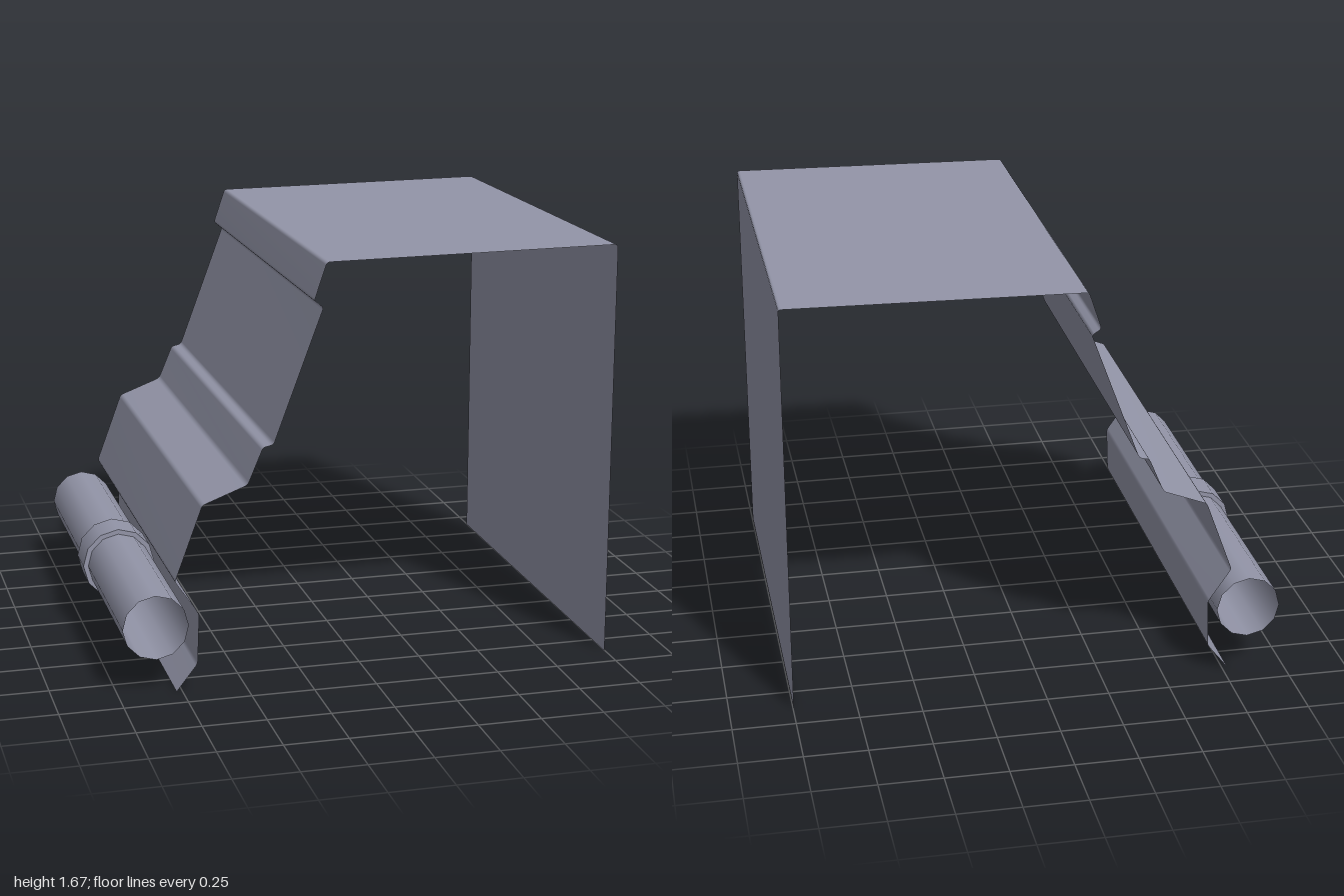
import * as THREE from 'three';

const HALF = 0.885; // half of the extruded length along z
const material = new THREE.MeshStandardMaterial({ color: 0x9395a8, side: THREE.DoubleSide });

// Rounds every inner corner of a polyline with a small bend
function bendProfile(corners, radius, steps) {
  const pts = corners.map(([x, y]) => new THREE.Vector2(x, y));
  const out = [pts[0]];
  for (let i = 1; i < pts.length - 1; i++) {
    const toward = (q) => {
      const d = q.clone().sub(pts[i]);
      return pts[i].clone().addScaledVector(d, Math.min(radius / d.length(), 0.35));
    };
    const bend = new THREE.QuadraticBezierCurve(toward(pts[i - 1]), pts[i], toward(pts[i + 1]));
    out.push(...bend.getPoints(steps));
  }
  out.push(pts[pts.length - 1]);
  return out;
}

// Thin sheet: a plane whose columns follow the profile
function sheet(profile) {
  const n = profile.length;
  const geo = new THREE.PlaneGeometry(1, 1, n - 1, 1);
  const pos = geo.attributes.position;
  for (let i = 0; i < pos.count; i++) {
    const p = profile[i % n];
    pos.setXYZ(i, p.x, p.y, i < n ? HALF : -HALF);
  }
  geo.computeVertexNormals();
  return geo;
}

export function createModel() {
  const group = new THREE.Group();
  const add = (name, geo) => {
    const mesh = new THREE.Mesh(geo, material);
    mesh.name = name;
    group.add(mesh);
    return mesh;
  };

  // Folded sheet: upright wall, slightly sloping top, lip, stepped slope and bottom flange
  const profile = bendProfile([
    [0.997, 0], [0.997, 1.675], [-0.172, 1.662], [-0.222, 1.515], [-0.185, 1.49],
    [-0.382, 0.965], [-0.423, 0.957], [-0.484, 0.813], [-0.662, 0.745],
    [-0.773, 0.447], [-0.68, 0.31], [-0.688, 0.108], [-0.773, 0],
  ], 0.012, 3);
  add('foldedSheet', sheet(profile));

  // Open tube running along the flange
  const tube = add('tube', new THREE.CylinderGeometry(0.129, 0.129, HALF * 2, 12, 1, true));

  // Collar around the tube with flat end rings
  const collarProfile = [[0.129, -0.078], [0.149, -0.078], [0.149, -0.078], [0.149, 0.078], [0.149, 0.078], [0.129, 0.078]];
  const collar = add('collar', new THREE.LatheGeometry(collarProfile.map(([r, y]) => new THREE.Vector2(r, y)), 12));

  for (const part of [tube, collar]) {
    part.rotation.x = Math.PI / 2;
    part.position.set(-0.85, 0.268, 0);
  }
  return group;
}
